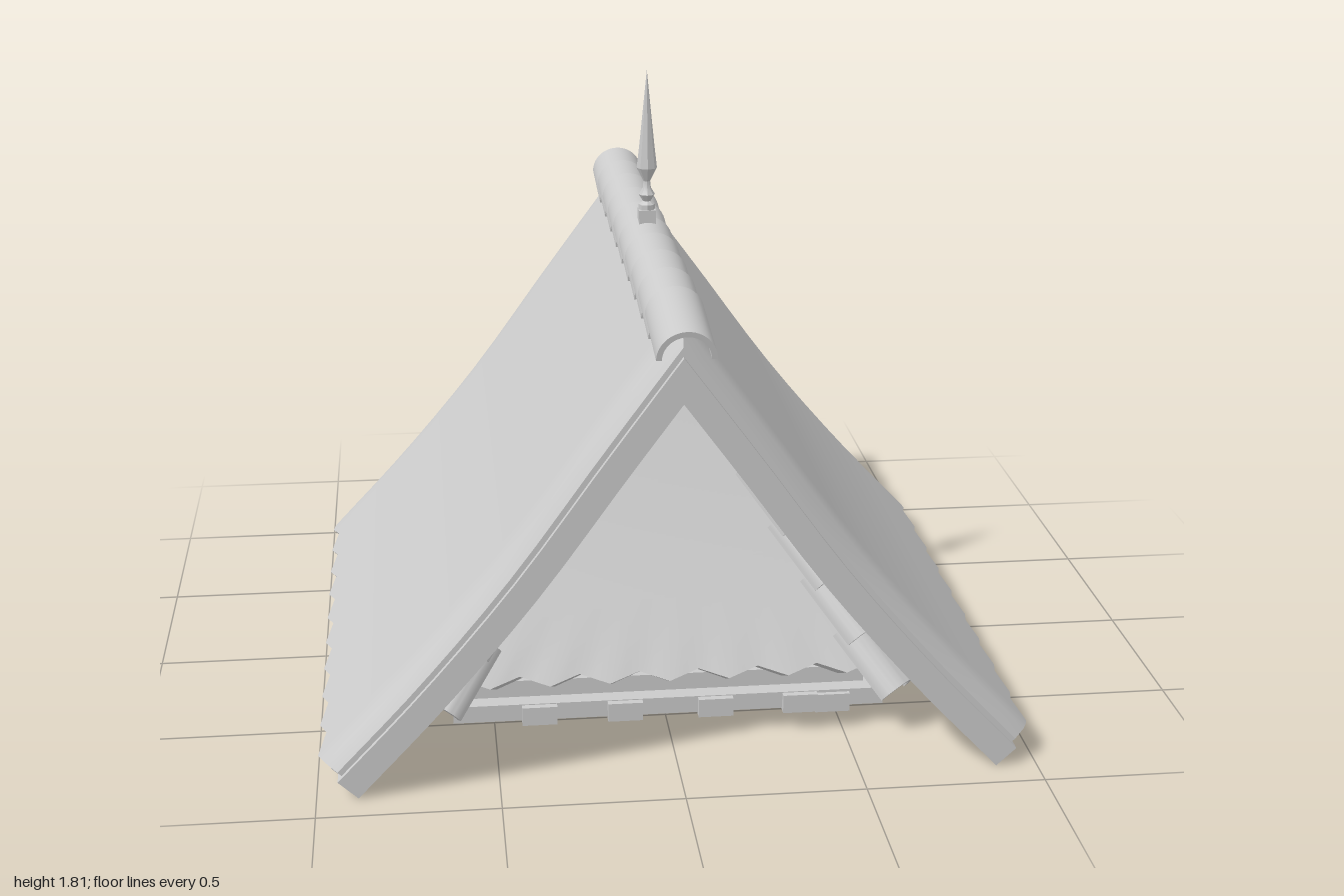
import * as THREE from 'three';
import { toCreasedNormals } from 'three/addons/utils/BufferGeometryUtils.js';

const stone = new THREE.MeshStandardMaterial({ color: 0xcacaca, side: THREE.DoubleSide });
stone.name = 'plain grey';

function add(parent, geo, name, x = 0, y = 0, z = 0) {
  const m = new THREE.Mesh(geo, stone);
  m.name = name;
  m.position.set(x, y, z);
  parent.add(m);
  return m;
}
const box = (parent, name, w, h, d, x, y, z) =>
  add(parent, new THREE.BoxGeometry(w, h, d), name, x, y, z);

function group(parent, name) {
  const g = new THREE.Group();
  g.name = name;
  parent.add(g);
  return g;
}

// Closed sheet: f(u, v, side) gives the upper (0) and lower (1) surface
function sheet(nu, nv, f) {
  const pos = [];
  const quad = (a, b, c, d) => pos.push(...a, ...b, ...c, ...a, ...c, ...d);
  const P = (i, j, k) => f(i / nu, j / nv, k);
  for (let i = 0; i < nu; i++) {
    for (let j = 0; j < nv; j++) {
      quad(P(i, j, 0), P(i, j + 1, 0), P(i + 1, j + 1, 0), P(i + 1, j, 0));
      quad(P(i, j, 1), P(i + 1, j, 1), P(i + 1, j + 1, 1), P(i, j + 1, 1));
    }
    quad(P(i, 0, 0), P(i + 1, 0, 0), P(i + 1, 0, 1), P(i, 0, 1));
    quad(P(i, nv, 0), P(i, nv, 1), P(i + 1, nv, 1), P(i + 1, nv, 0));
  }
  for (let j = 0; j < nv; j++) {
    quad(P(0, j, 0), P(0, j, 1), P(0, j + 1, 1), P(0, j + 1, 0));
    quad(P(nu, j, 0), P(nu, j + 1, 0), P(nu, j + 1, 1), P(nu, j, 1));
  }
  const g = new THREE.BufferGeometry();
  g.setAttribute('position', new THREE.Float32BufferAttribute(pos, 3));
  return toCreasedNormals(g, 0.6);
}
// Triangle wave from -1 to 1
const wave = (t) => 4 * Math.abs(t - Math.floor(t + 0.5)) - 1;

// Curved roof slope, from ridge to eave
const slope = new THREE.CatmullRomCurve3(
  [[0, 1.34], [0.25, 1.0], [0.5, 0.655], [0.75, 0.355], [0.985, 0.102]]
    .map(([x, y]) => new THREE.Vector3(x, y, 0)));

// Point on the slope at depth below the surface, mitred at the ridge
function onSlope(u, depth, z, extend = 0) {
  const p = slope.getPoint(u), t = slope.getTangent(u);
  p.addScaledVector(t, extend);
  p.x += t.y * depth;
  p.y -= t.x * depth;
  if (p.x < 0) p.addScaledVector(t, -p.x / t.x);
  return [p.x, p.y, z];
}
const strip = (z, w, d0, d1) =>
  sheet(14, 1, (u, v, k) => onSlope(u, k ? d1 : d0, z + (v - 0.5) * w));

// Half-round tile running along z
function tileGeometry(r, len, thick) {
  const s = new THREE.Shape();
  s.absarc(0, 0, r, 0, Math.PI, false);
  s.absarc(0, 0, r - thick, Math.PI, 0, true);
  s.closePath();
  const g = new THREE.ExtrudeGeometry(s, { depth: len, bevelEnabled: false, curveSegments: 12 });
  g.translate(0, 0, -len / 2);
  return toCreasedNormals(g, 0.6);
}

function wheel(parent, x, y, z, r) {
  const w = group(parent, 'wheel');
  w.position.set(x, y, z);
  w.rotation.y = Math.PI / 2;
  add(w, new THREE.TorusGeometry(r, 0.013, 6, 20), 'rim');
  const hub = add(w, new THREE.CylinderGeometry(0.025, 0.025, 0.05, 10), 'hub');
  hub.rotation.x = Math.PI / 2;
  for (let i = 0; i < 4; i++)
    box(w, 'spoke', 0.013, 2 * r, 0.013, 0, 0, 0).rotation.z = i * Math.PI / 4;
}

export function createModel() {
  const model = new THREE.Group();
  model.name = 'gableRoof';

  // Main roof: two slopes with rolled verges and toothed eaves
  const tiles = sheet(14, 60, (u, v, k) => {
    const z = -0.905 + 1.81 * v;
    const e = Math.min(1, Math.max(0, Math.abs(z) - 0.815) / 0.09);
    const roll = 0.045 * (1 - Math.sqrt(1 - e * e));
    return onSlope(u, roll + (k ? 0.035 : 0), z, u === 1 ? 0.016 * wave(v * 10) : 0);
  });
  for (let side = 0; side < 2; side++) {
    const half = group(model, side ? 'rightSlope' : 'leftSlope');
    half.position.z = -0.015;
    half.rotation.y = side * Math.PI;
    add(half, tiles, 'roofTiles');
    add(half, strip(0, 1.74, 0.035, 0.105), 'roofBoards');
    for (const s of [-1, 1]) {
      add(half, strip(s * 0.893, 0.055, 0.06, 0.135), 'bargeBoard');
      add(half, strip(s * 0.755, 0.055, 0.105, 0.135), 'rafter');
    }
  }

  // Overlapping ridge tiles
  const ridge = group(model, 'ridge');
  const ridgeTile = tileGeometry(0.08, 0.275, 0.015);
  for (let i = 0; i < 10; i++)
    add(ridge, ridgeTile, 'ridgeTile', 0, 1.275, 0.825 - i * 0.1855).rotation.x = 0.16;

  // Finial
  const finial = group(model, 'finial');
  finial.position.set(0, 0, -0.017);
  box(finial, 'finialBase', 0.05, 0.08, 0.05, 0, 1.365, 0);
  const profile = [[0, 1.4], [0.024, 1.405], [0.024, 1.42], [0.012, 1.43], [0.024, 1.45], [0.012, 1.47],
    [0.01, 1.49], [0.03, 1.53], [0.022, 1.6], [0, 1.82]].map(([x, y]) => new THREE.Vector2(x, y));
  add(finial, toCreasedNormals(new THREE.LatheGeometry(profile, 8), 0.5), 'spire');

  // Lower hipped roof: four faces with toothed edges
  const hip = group(model, 'hippedRoof');
  const hipFace = sheet(8, 28, (u, v, k) => {
    const h = 0.135 + 0.465 * u - 0.015 * Math.sin(u * Math.PI);
    const tooth = u === 1 ? 0.012 * wave(v * 7) : 0;
    const inset = k ? 0.025 : 0;
    return [h - inset + tooth, 0.95 - 0.765 * u - inset * 0.5 - tooth, (2 * v - 1) * (h - inset)];
  });
  const hipTile = tileGeometry(0.065, 0.23, 0.013);
  for (let q = 0; q < 4; q++) {
    const face = group(hip, 'hipSide');
    face.rotation.y = q * Math.PI / 2;
    add(face, hipFace, 'hipFace');
    // Tiles along one hip
    const from = new THREE.Vector3(0.585, 0.195, 0.585), to = new THREE.Vector3(0.13, 0.94, 0.13);
    for (let i = 0; i < 6; i++) {
      const t = add(face, hipTile, 'hipTile');
      t.position.lerpVectors(from, to, i / 5.4);
      t.rotation.order = 'YXZ';
      t.rotation.set(0.72, Math.PI / 4, 0);
    }
    // Timber frame and joist ends
    box(face, 'outerBeam', 1.24, 0.05, 0.05, 0, 0.1, 0.595);
    box(face, 'wallPlate', 1.14, 0.05, 0.06, 0, 0.15, 0.54);
    box(face, 'innerBeam', 0.94, 0.05, 0.05, 0, 0.1, 0.445);
    for (const x of [-0.375, -0.13, 0.13, 0.375])
      box(face, 'joist', 0.1, 0.055, 0.24, x, 0.095, 0.52);
    box(face, 'cornerBlock', 0.1, 0.055, 0.1, 0.47, 0.09, 0.585);
  }

  // Small gable block above the hipped roof
  const tri = new THREE.Shape([[-0.15, 0.93], [0.15, 0.93], [0, 1.18]].map((p) => new THREE.Vector2(...p)));
  const gable = new THREE.ExtrudeGeometry(tri, { depth: 0.24, bevelEnabled: false });
  add(model, gable, 'gableBlock', 0, 0, -0.12);

  // Lattice hanging inside the hipped roof
  const lattice = group(model, 'lattice');
  for (let i = -2; i <= 2; i++) {
    box(lattice, 'latticeBar', 0.02, 0.02, 0.26, i * 0.06, 0.2, 0);
    box(lattice, 'latticeBar', 0.26, 0.02, 0.02, 0, 0.21, i * 0.06);
  }
  for (const s of [-1, 1]) box(lattice, 'handle', 0.02, 0.02, 0.42, s * 0.13, 0.22, 0);
  add(lattice, new THREE.CylinderGeometry(0.012, 0.012, 0.74, 8), 'hanger', 0, 0.58, 0);

  // Wooden cart at the back
  const cart = group(model, 'cart');
  cart.position.set(0, 0, -0.6);
  box(cart, 'bed', 0.3, 0.02, 0.36, 0, 0.34, 0);
  add(cart, new THREE.CylinderGeometry(0.012, 0.012, 0.4, 8), 'axle', 0, 0.3, 0).rotation.z = Math.PI / 2;
  for (const s of [-1, 1]) {
    wheel(cart, s * 0.19, 0.3, 0, 0.1);
    for (const y of [0.38, 0.43]) box(cart, 'sideRail', 0.015, 0.035, 0.36, s * 0.15, y, 0);
    for (const z of [-0.17, 0, 0.17]) box(cart, 'post', 0.022, 0.16, 0.022, s * 0.162, 0.41, z);
    box(cart, 'shaft', 0.02, 0.02, 0.5, s * 0.1, 0.32, 0.1);
  }
  for (const y of [0.38, 0.43]) box(cart, 'tailBoard', 0.3, 0.035, 0.015, 0, y, -0.17);
  box(cart, 'frontBoard', 0.3, 0.14, 0.015, 0, 0.44, 0.1).rotation.x = 0.4;

  return model;
}
